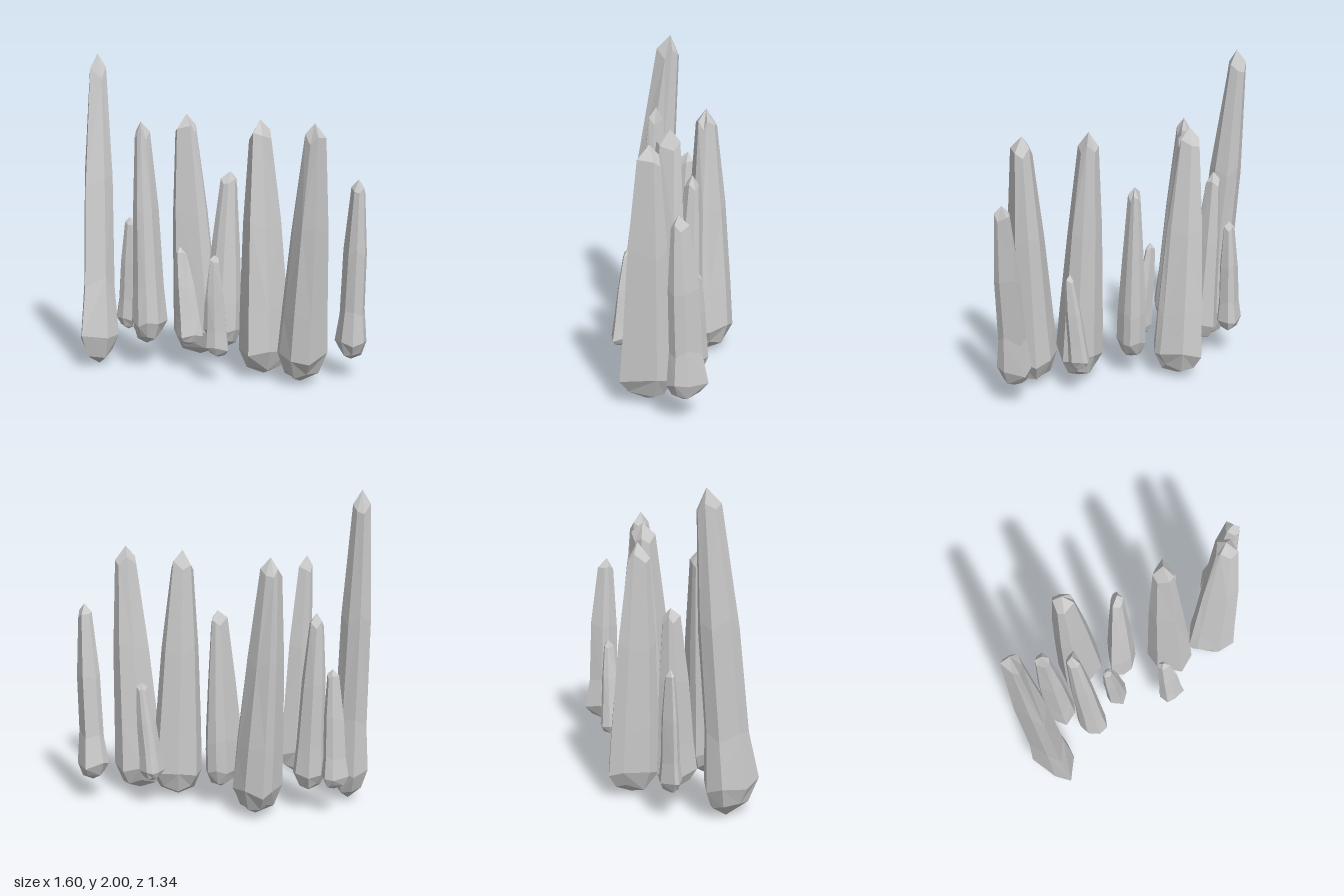
import * as THREE from 'three';

const material = new THREE.MeshStandardMaterial({ color: 0xcccccc, flatShading: true });

// One faceted spire: footprint outline [x, z], leaning towards its apex [x, y, z];
// ankle is the scale of the ring above the foot
function spire(name, bottom, apex, ankle, outline) {
  // Rings from foot to shoulder: [height fraction, scale of the footprint]
  const rings = [[0.035, 0.68], [0.1, 1], [0.27, ankle], [0.6, 0.73], [0.94, 0.43]];
  const n = outline.length;
  const cx = outline.reduce((s, p) => s + p[0], 0) / n;
  const cz = outline.reduce((s, p) => s + p[1], 0) / n;
  const height = apex[1] - bottom;
  const pos = [cx, bottom, cz];
  const index = [];

  rings.forEach(([f, scale], r) => {
    const lean = Math.max(0, (f - 0.1) / 0.86);
    const x = THREE.MathUtils.lerp(cx, apex[0], lean);
    const z = THREE.MathUtils.lerp(cz, apex[2], lean);
    outline.forEach(([px, pz], i) => {
      // small uneven steps in height make the facets irregular
      const wobble = Math.sin(i * 2.4 + r * 1.7 + cx * 9) * (r < 2 ? 0.012 : 0.02);
      pos.push(x + (px - cx) * scale, bottom + height * (f + wobble), z + (pz - cz) * scale);
    });
  });
  pos.push(...apex);

  const tip = pos.length / 3 - 1;
  const last = 1 + (rings.length - 1) * n;
  for (let i = 0; i < n; i++) {
    const j = (i + 1) % n;
    index.push(0, 1 + i, 1 + j);
    index.push(last + i, tip, last + j);
    for (let r = 0; r < rings.length - 1; r++) {
      const a = 1 + r * n + i, b = 1 + r * n + j;
      if ((i + r) % 2) index.push(a, a + n, b, b, a + n, b + n);
      else index.push(a, b + n, b, a, a + n, b + n);
    }
  }

  const geometry = new THREE.BufferGeometry();
  geometry.setAttribute('position', new THREE.Float32BufferAttribute(pos, 3));
  geometry.setIndex(index);
  geometry.computeVertexNormals();
  const mesh = new THREE.Mesh(geometry, material);
  mesh.name = name;
  return mesh;
}

export function createModel() {
  const group = new THREE.Group();
  group.name = 'rockSpires';

  // Tallest spire and the three large ones
  group.add(
    spire('tallestSpire', 0, [-0.75, 2, 0.37], 0.8,
      [[-0.76, 0.48], [-0.72, 0.38], [-0.62, 0.35], [-0.52, 0.39], [-0.485, 0.5], [-0.53, 0.67], [-0.63, 0.61]]),
    spire('largeSpireRight', 0.01, [-0.41, 1.61, -0.09], 0.92,
      [[-0.49, -0.26], [-0.37, -0.285], [-0.23, -0.23], [-0.2, -0.19], [-0.2, -0.1], [-0.36, 0.03], [-0.45, -0.01], [-0.49, -0.17]]),
    spire('largeSpireMiddle', 0.01, [0.21, 1.61, -0.18], 0.92,
      [[0.13, -0.15], [0.19, -0.26], [0.3, -0.34], [0.385, -0.29], [0.425, -0.08], [0.34, 0.02], [0.18, -0.04]]),
    spire('largeSpireLeft', 0.01, [0.61, 1.61, -0.27], 0.9,
      [[0.42, -0.15], [0.46, -0.31], [0.55, -0.39], [0.66, -0.35], [0.73, -0.13], [0.62, -0.08], [0.47, -0.12]]),
  );

  // Medium spires
  group.add(
    spire('slimSpireFront', 0.16, [-0.41, 1.58, 0.28], 0.87,
      [[-0.42, 0.27], [-0.38, 0.22], [-0.29, 0.165], [-0.235, 0.28], [-0.235, 0.37], [-0.29, 0.4], [-0.37, 0.385], [-0.41, 0.33]]),
    spire('mediumSpireMiddle', 0.12, [-0.07, 1.26, -0.18], 0.98,
      [[-0.1, -0.23], [-0.04, -0.24], [0, -0.21], [0.04, -0.13], [0, -0.04], [-0.06, 0], [-0.14, -0.01], [-0.14, -0.18]]),
    spire('mediumSpireLeft', 0.12, [0.73, 1.26, -0.53], 0.78,
      [[0.57, -0.55], [0.61, -0.67], [0.74, -0.61], [0.785, -0.54], [0.76, -0.47], [0.69, -0.44], [0.58, -0.49]]),
    spire('mediumSpireRight', 0.12, [-0.59, 1.26, 0.14], 0.88,
      [[-0.63, 0.15], [-0.6, 0.06], [-0.51, 0.045], [-0.43, 0.13], [-0.43, 0.21], [-0.5, 0.29], [-0.62, 0.21]]),
  );

  // Small spires
  group.add(
    spire('smallSpireBack', 0.16, [0.335, 0.79, -0.44], 0.87,
      [[0.23, -0.46], [0.26, -0.48], [0.33, -0.47], [0.35, -0.43], [0.3, -0.35], [0.24, -0.33], [0.22, -0.41]]),
    spire('smallSpireRight', 0.16, [-0.7, 0.92, 0.16], 0.82,
      [[-0.8, 0.205], [-0.75, 0.11], [-0.7, 0.09], [-0.64, 0.14], [-0.64, 0.19], [-0.7, 0.23], [-0.77, 0.225]]),
    spire('smallSpireMiddle', 0.16, [-0.19, 0.79, 0.14], 0.87,
      [[-0.2, 0.13], [-0.14, 0.07], [-0.065, 0.055], [-0.065, 0.13], [-0.1, 0.2], [-0.18, 0.18]]),
    spire('smallSpireLeft', 0.16, [0.17, 0.79, 0.15], 0.87,
      [[0.16, 0.14], [0.2, 0.1], [0.26, 0.115], [0.325, 0.17], [0.26, 0.22], [0.2, 0.24], [0.155, 0.19]]),
  );
  return group;
}
